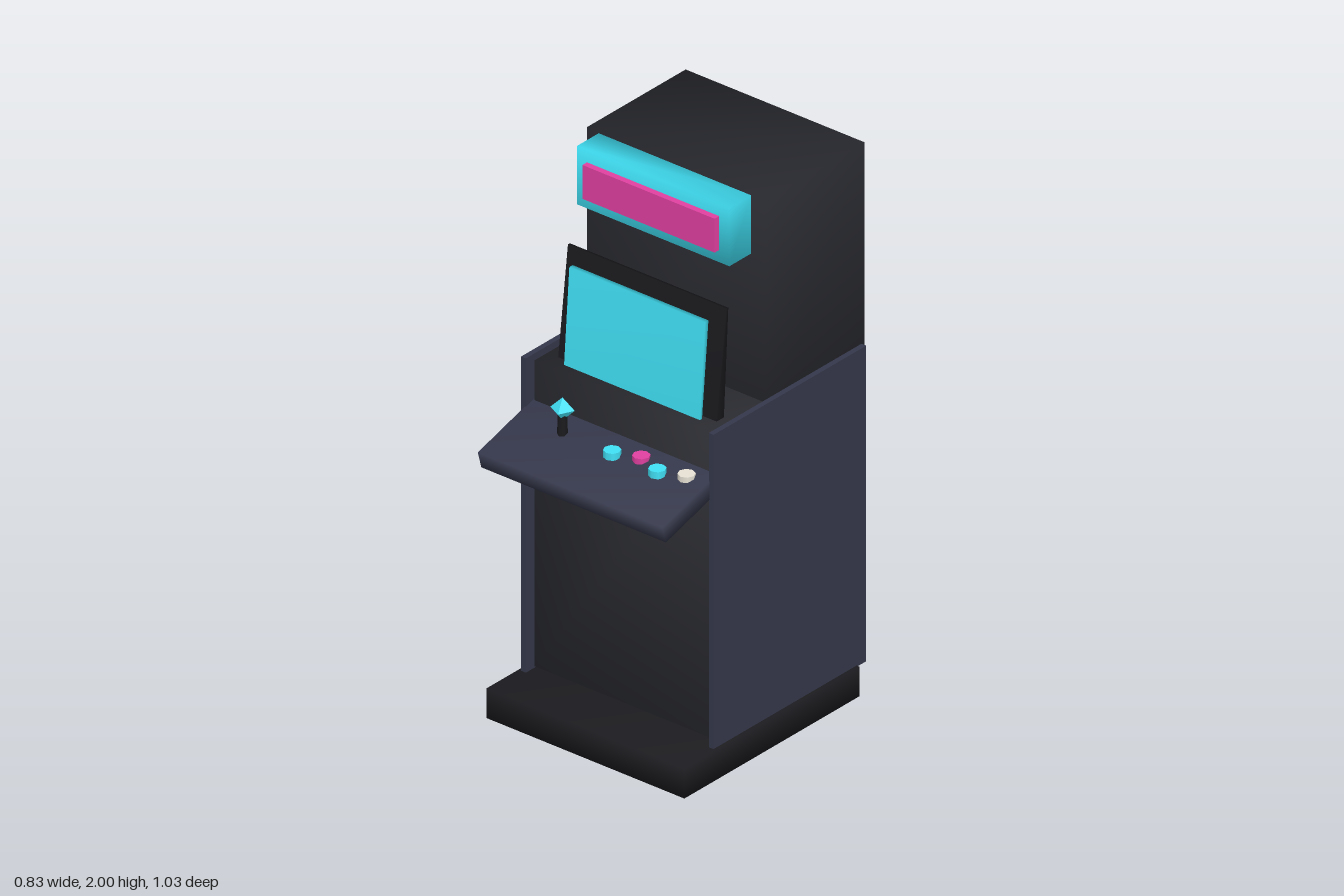
import * as THREE from 'three';
import { mergeVertices } from 'three/addons/utils/BufferGeometryUtils.js';

const mat = (color) => new THREE.MeshStandardMaterial({ color });
const BLACK = mat(0x1b1b1f), DARK = mat(0x2a2b31), NAVY = mat(0x34374a);
const CYAN = mat(0x40e0f5), PINK = mat(0xe040a0), WHITE = mat(0xe6e0d4);

// Shares corner vertices so the shading rolls softly across the faces
function soften(geo) {
  geo.deleteAttribute('uv');
  geo.deleteAttribute('normal');
  const merged = mergeVertices(geo);
  merged.computeVertexNormals();
  return merged;
}

export function createModel() {
  const group = new THREE.Group();

  const add = (name, geo, material, x = 0, y = 0, z = 0) => {
    const mesh = new THREE.Mesh(geo, material);
    mesh.name = name;
    mesh.position.set(x, y, z);
    group.add(mesh);
    return mesh;
  };

  // Box from its width and its y and z ranges
  const block = (name, material, w, [y0, y1], [z0, z1], soft = true, x = 0) => {
    const geo = new THREE.BoxGeometry(w, y1 - y0, z1 - z0);
    return add(name, soft ? soften(geo) : geo, material, x, (y0 + y1) / 2, (z0 + z1) / 2);
  };

  // Leaning slab with separate back and front z at its bottom and top
  const slab = (name, material, w, [y0, y1], bottomZ, topZ) => {
    const geo = new THREE.BoxGeometry(w, 1, 1);
    const p = geo.attributes.position;
    for (let i = 0; i < p.count; i++) {
      const top = p.getY(i) > 0, front = p.getZ(i) > 0;
      p.setY(i, top ? y1 : y0);
      p.setZ(i, (top ? topZ : bottomZ)[front ? 1 : 0]);
    }
    return add(name, soften(geo), material);
  };

  // Cabinet
  block('base', BLACK, 0.83, [0, 0.11], [-0.44, 0.44]);
  block('lowerCabinet', DARK, 0.755, [0.12, 1.25], [-0.45, 0.243]);
  block('upperCabinet', DARK, 0.75, [1.08, 2], [-0.513, -0.018]);
  for (const [name, s] of [['leftSidePanel', 1], ['rightSidePanel', -1]]) {
    block(name, NAVY, 0.02, [0.105, 1.27], [-0.488, 0.28], false, s * 0.394);
  }

  // Lit header
  block('marquee', CYAN, 0.64, [1.785, 2], [-0.01, 0.1]);
  block('marqueeSign', PINK, 0.555, [1.83, 1.955], [0.095, 0.123], false);

  // Display
  slab('screenBezel', BLACK, 0.665, [1.2, 1.645], [0.145, 0.185], [0.12, 0.13]);
  slab('screen', CYAN, 0.57, [1.2, 1.6], [0.2, 0.21], [0.163, 0.18]);

  // Sloping control deck
  const deck = add('controlDeck', soften(new THREE.BoxGeometry(0.775, 0.065, 0.33)), NAVY, 0, 1.038, 0.35);
  deck.rotation.x = 0.28;

  // Joystick
  add('joystickShaft', new THREE.CylinderGeometry(0.016, 0.018, 0.12, 6), BLACK, -0.195, 1.11, 0.322);
  const knob = add('joystickKnob', new THREE.OctahedronGeometry(0.042), CYAN, -0.195, 1.17, 0.322);
  knob.rotation.y = 0.35;

  // Buttons in a zigzag row
  const caps = [CYAN, PINK, CYAN, WHITE];
  caps.forEach((cap, i) => {
    const geo = new THREE.CylinderGeometry(0.03, 0.03, 0.026, 8);
    add('button' + (i + 1), geo, cap, 0.02 + i * 0.095, 1.087, i % 2 ? 0.297 : 0.33);
  });

  return group;
}
